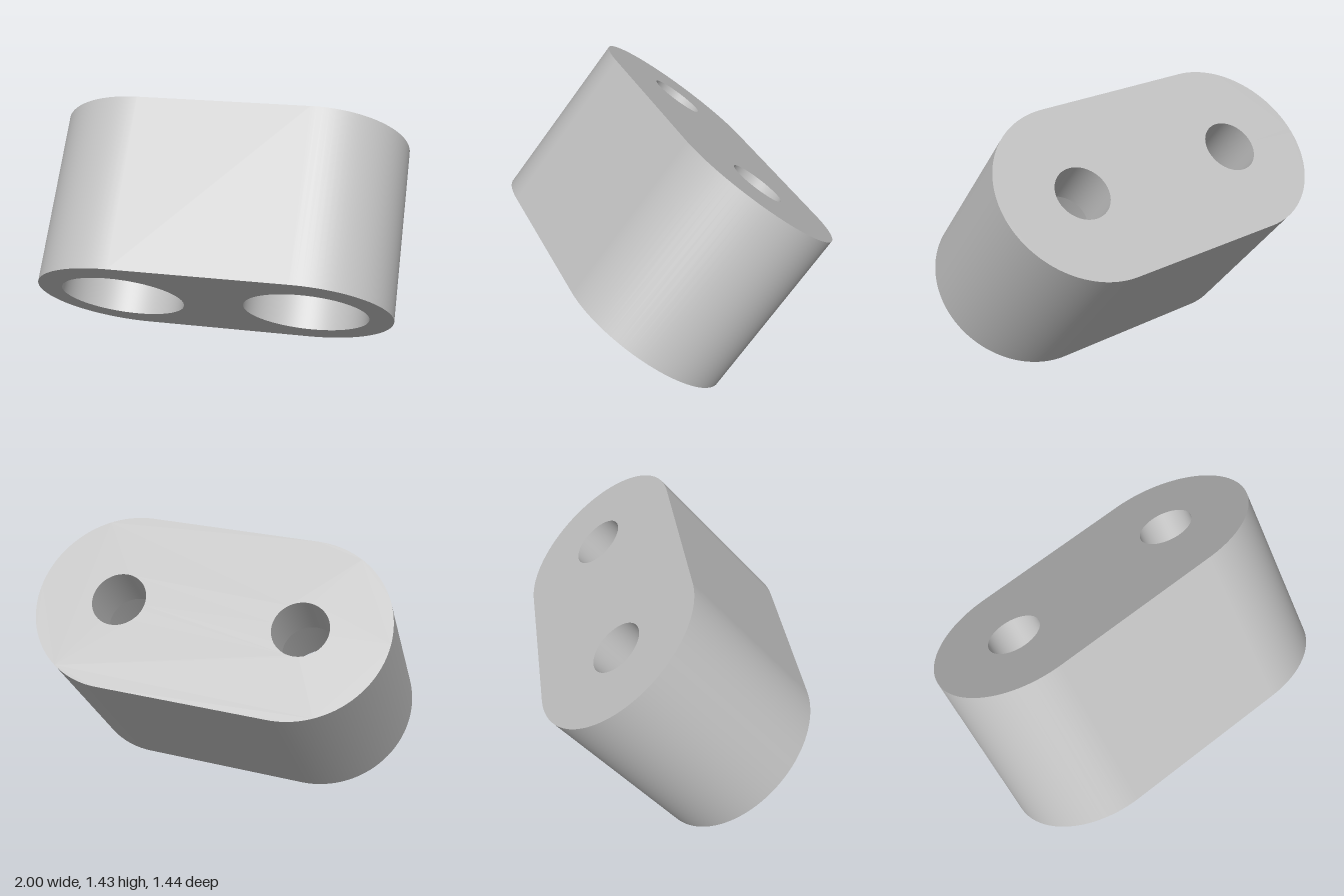
import * as THREE from 'three';

const HEIGHT = 1;        // length along the bore axis
const RADIUS = 0.519;    // rounded ends of the block
const END_X = 1 - RADIUS;
const HOLE_X = 0.52;
const WIDE = 0.347;      // large counterbore, open at the bottom
const NARROW = 0.155;    // small through hole, open at the top
const STEP = 0.7;        // depth of the counterbore
const TILT = THREE.MathUtils.degToRad(40);

// Stadium outline with two round holes
function plate(holeRadius) {
  const shape = new THREE.Shape();
  shape.absarc(END_X, 0, RADIUS, -Math.PI / 2, Math.PI / 2, false);
  shape.absarc(-END_X, 0, RADIUS, Math.PI / 2, Math.PI * 1.5, false);
  shape.closePath();
  for (const side of [-1, 1]) {
    const hole = new THREE.Path();
    hole.absarc(side * HOLE_X, 0, holeRadius, 0, Math.PI * 2, true);
    shape.holes.push(hole);
  }
  return new THREE.ShapeGeometry(shape, 48);
}

export function createModel() {
  const grey = new THREE.MeshStandardMaterial({ color: 0xc0c0c0 });
  grey.name = 'grey';

  const block = new THREE.Group();
  block.name = 'block';
  const add = (name, geometry, x = 0, y = 0, z = 0) => {
    const mesh = new THREE.Mesh(geometry, grey);
    mesh.name = name;
    mesh.position.set(x, y, z);
    block.add(mesh);
    return mesh;
  };

  // End faces
  add('topFace', plate(NARROW).rotateX(-Math.PI / 2), 0, HEIGHT / 2);
  add('bottomFace', plate(WIDE).rotateX(Math.PI / 2), 0, -HEIGHT / 2);

  // Stepped bore profile, from the top down so that it faces inward
  const profile = [[NARROW, HEIGHT], [NARROW, STEP], [WIDE, STEP], [WIDE, 0]]
    .map(([r, y]) => new THREE.Vector2(r, y - HEIGHT / 2));
  const boreParts = ['narrowHole', 'holeShelf', 'wideHole'];

  for (const side of [-1, 1]) {
    const label = side > 0 ? 'left' : 'right';

    // Rounded end wall
    add(label + 'EndWall', new THREE.CylinderGeometry(RADIUS, RADIUS, HEIGHT, 48, 1, true,
      side > 0 ? 0 : Math.PI, Math.PI), side * END_X);

    // Flat long wall
    add(side > 0 ? 'frontWall' : 'backWall',
      new THREE.PlaneGeometry(END_X * 2, HEIGHT).rotateY(side > 0 ? 0 : Math.PI),
      0, 0, side * RADIUS);

    // One lathe per profile segment keeps the edges sharp
    boreParts.forEach((part, i) =>
      add(`${label} ${part}`, new THREE.LatheGeometry([profile[i], profile[i + 1]], 96), side * HOLE_X));
  }

  // Lean the block back and rest its lower edge on the ground
  block.rotation.x = -TILT;
  block.position.y = HEIGHT / 2 * Math.cos(TILT) + RADIUS * Math.sin(TILT);

  const model = new THREE.Group();
  model.name = 'twoHoleBlock';
  model.add(block);
  return model;
}
